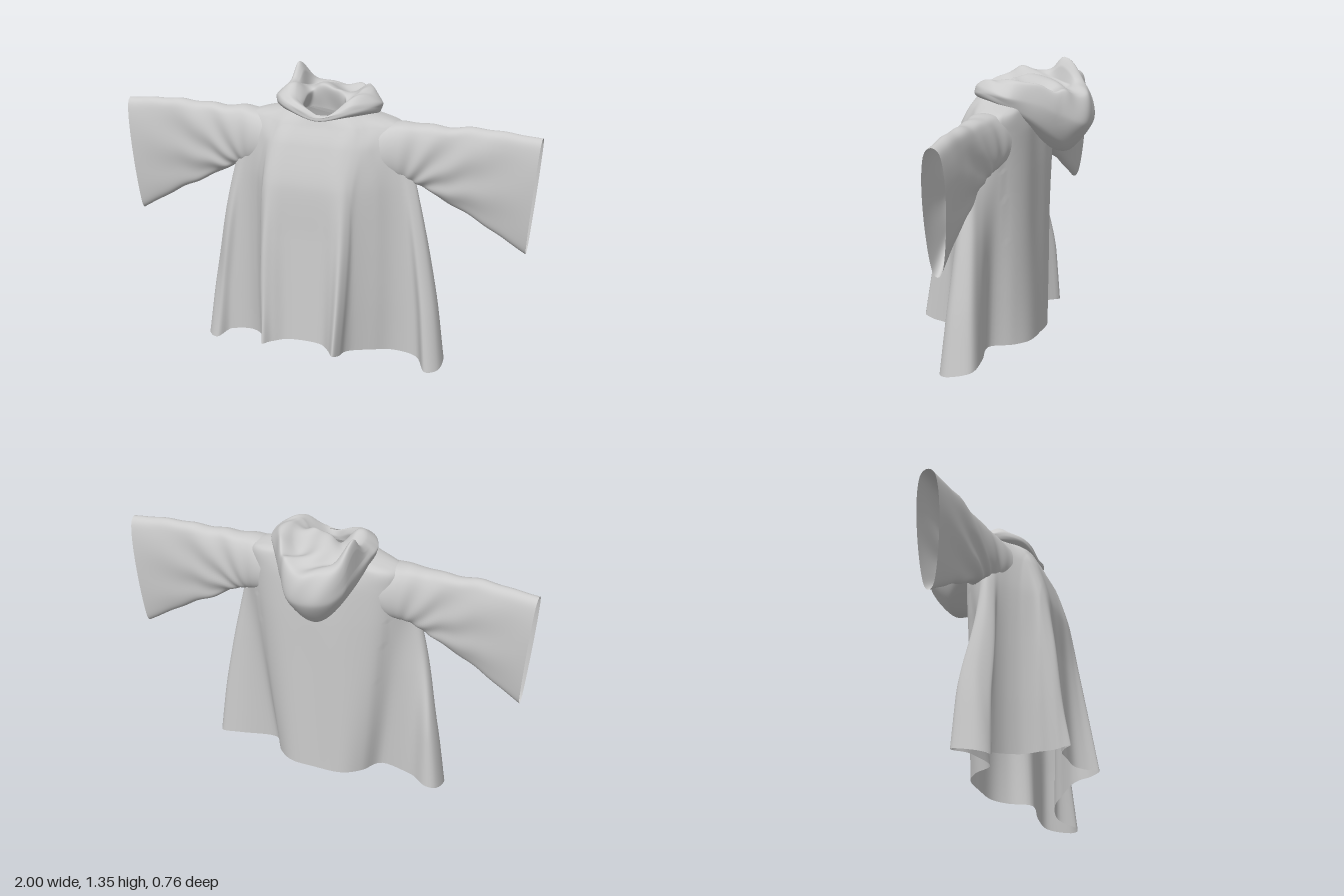
import * as THREE from 'three';

const cloth = new THREE.MeshStandardMaterial({ color: 0xcccccc, side: THREE.DoubleSide });
const V = (x, y, z) => new THREE.Vector3(x, y, z);
const bump = (d, r) => Math.exp(-(d * d) / (r * r));
const ramp = THREE.MathUtils.smoothstep;

// Full ring from a half outline running centre front -> side -> centre back
function mirrorRing(half) {
  const left = half.map((p) => V(...p));
  const right = half.slice(1, -1).reverse().map(([x, y, z]) => V(-x, y, z));
  return [...left, ...right];
}

// Half outline given as x, z pairs at one height
const level = (y, pairs) => pairs.map(([x, z]) => [x, y, z]);

// Smooth skin through closed rings; shape() bends each vertex, skip() leaves holes
function loft(name, rings, around, along, shape, skip = () => false) {
  const loops = rings.map((r) => {
    const c = new THREE.CatmullRomCurve3(r, true, 'catmullrom', 0.5);
    return Array.from({ length: around }, (_, k) => c.getPoint(k / around));
  });
  const pts = [];
  const columns = loops[0].map((_, k) =>
    new THREE.CatmullRomCurve3(loops.map((l) => l[k]), false, 'catmullrom', 0.4));
  for (let j = 0; j <= along; j++) {
    for (let k = 0; k < around; k++) {
      const p = columns[k].getPoint(j / along);
      shape(p, j / along);
      pts.push(p);
    }
  }
  const index = [];
  for (let j = 0; j < along; j++) {
    for (let k = 0; k < around; k++) {
      const a = j * around + k;
      const b = j * around + ((k + 1) % around);
      const c = a + around;
      const d = b + around;
      if ([a, b, c, d].every((i) => skip(pts[i]))) continue;
      index.push(a, b, d, a, d, c);
    }
  }
  const geo = new THREE.BufferGeometry().setFromPoints(pts);
  geo.setIndex(index);
  geo.computeVertexNormals();
  const mesh = new THREE.Mesh(geo, cloth);
  mesh.name = name;
  return mesh;
}

// Body: deep front folds, cone-like side flaps and a back panel that narrows to the hem
function makeBody() {
  const hem = [
    [0, 0.15, 0.28], [0.09, 0.145, 0.285], [0.14, 0.14, 0.33], [0.175, 0.14, 0.38],
    [0.195, 0.125, 0.33], [0.205, 0.115, 0.26], [0.27, 0.095, 0.17], [0.36, 0.075, 0.095],
    [0.47, 0.045, 0.075], [0.53, 0.01, 0.15], [0.59, 0.012, 0.1], [0.575, 0.04, -0.015],
    [0.46, 0.06, -0.025], [0.285, 0.06, 0.01], [0.215, 0.06, -0.085], [0.13, 0.06, -0.143], [0, 0.06, -0.15],
  ];
  const armpit = level(0.9, [
    [0, 0.245], [0.08, 0.245], [0.14, 0.25], [0.18, 0.245], [0.21, 0.225], [0.23, 0.2],
    [0.27, 0.165], [0.33, 0.115], [0.38, 0.085], [0.415, 0.07], [0.44, 0.045], [0.435, 0.02],
    [0.405, -0.01], [0.35, -0.06], [0.27, -0.115], [0.15, -0.145], [0, -0.15],
  ]);
  const chest = level(1.08, [
    [0, 0.195], [0.08, 0.195], [0.14, 0.195], [0.18, 0.185], [0.21, 0.17], [0.24, 0.15],
    [0.28, 0.12], [0.32, 0.095], [0.35, 0.075], [0.375, 0.05], [0.385, 0.02], [0.385, 0],
    [0.375, -0.04], [0.335, -0.085], [0.26, -0.12], [0.14, -0.14], [0, -0.14],
  ]);
  const shoulder = level(1.165, [
    [0, 0.155], [0.08, 0.155], [0.13, 0.15], [0.17, 0.14], [0.2, 0.12], [0.23, 0.1],
    [0.27, 0.08], [0.3, 0.065], [0.33, 0.045], [0.35, 0.03], [0.36, 0.01], [0.36, -0.01],
    [0.35, -0.04], [0.32, -0.08], [0.25, -0.11], [0.13, -0.12], [0, -0.12],
  ]);
  const neck = Array.from({ length: 17 }, (_, i) => {
    const a = (i / 16) * Math.PI;
    return [0.2 * Math.sin(a), 1.215, 0.015 + 0.12 * Math.cos(a)];
  });
  // Straight-hanging rings between hem and armpit, slightly bellied at the sides
  const mid = (t) => hem.map((p, i) =>
    p.map((v, k) => (v + (armpit[i][k] - v) * t) * (k === 0 ? 1 + 0.03 * Math.sin(Math.PI * t) : 1)));
  const rings = [hem, mid(0.33), mid(0.67), armpit, chest, shoulder, neck].map(mirrorRing);
  const shape = (p) => {
    // front folds sit off centre, the right one and the right flap further back
    if (p.z > 0.15) p.x -= 0.025 * Math.min(1, (p.z - 0.15) / 0.08);
    if (p.x < 0) p.z -= 0.025 * ramp(p.z, 0.28, 0.36);
    if (p.x < 0) p.z -= 0.045 * ramp(-p.x, 0.44, 0.54) * ramp(0.9 - p.y, 0, 0.6);
    // soft drapes on the back panel
    if (p.z < -0.08) p.z += 0.004 * Math.sin(p.x * 24) * bump(p.y - 0.75, 0.4);
  };
  const armhole = (p) => Math.abs(p.x) > 0.3 && Math.hypot((p.y - 1.035) / 0.135, (p.z + 0.01) / 0.078) < 1;
  return loft('body', rings, 192, 100, shape, armhole);
}

// Wide hanging sleeve: flat, open cuff, longer below than above, rooted inside the body
function makeSleeve(side) {
  const stations = [ // xTop, xBottom, yTop, yBottom, zCentre, halfWidth, taper towards the bottom
    [0.27, 0.32, 1.17, 0.92, 0.005, 0.115, 0],
    [0.4, 0.44, 1.18, 0.895, 0, 0.088, 0.1],
    [0.55, 0.55, 1.175, 0.83, -0.003, 0.072, 0.2],
    [0.76, 0.73, 1.18, 0.735, -0.01, 0.064, 0.3],
    [1, 0.95, 1.16, 0.6, -0.017, 0.062, 0.35],
  ];
  const rings = stations.map(([xt, xb, yt, yb, zc, w, taper]) =>
    Array.from({ length: 16 }, (_, i) => {
      const a = (i / 16) * Math.PI * 2;
      const u = (1 - Math.sin(a)) / 2;
      const c = Math.cos(a);
      const z = zc + w * (1 - taper * u) * Math.sign(c) * Math.abs(c) ** 0.7;
      return V(side * (xt + (xb - xt) * u), yt + (yb - yt) * u, z);
    }));
  // Creases fanning out from the armpit
  const shape = (p, t) => {
    const x = Math.abs(p.x);
    const fan = Math.atan2(p.y - 0.86, x - 0.36);
    p.z += 0.005 * Math.sin(fan * 13 + side) * Math.sin(Math.PI * t);
    p.y += 0.004 * Math.sin(x * 38 + side) * Math.sin(Math.PI * t);
  };
  return loft(side > 0 ? 'leftSleeve' : 'rightSleeve', rings, 80, 48, shape);
}

// Hood: collar round the neck, with the bag fallen down the back and its mouth folded in
function makeHood() {
  const rings = [
    [[0, 1.18, 0.14], [0.14, 1.205, 0.1], [0.2, 1.2, 0.02], [0.17, 1.2, -0.06], [0.1, 1.17, -0.1], [0, 1.15, -0.11]],
    [[0, 1.19, 0.148], [0.15, 1.22, 0.115], [0.235, 1.21, 0], [0.185, 1.13, -0.12], [0.09, 1.025, -0.165], [0, 0.975, -0.18]],
    [[0, 1.2, 0.148], [0.16, 1.235, 0.115], [0.245, 1.23, -0.01], [0.2, 1.14, -0.15], [0.095, 1.01, -0.26], [0, 0.955, -0.275]],
    [[0, 1.205, 0.148], [0.155, 1.26, 0.11], [0.25, 1.25, -0.03], [0.2, 1.2, -0.18], [0.115, 1.11, -0.335], [0, 1.09, -0.38]],
    [[0, 1.21, 0.143], [0.13, 1.275, 0.095], [0.2, 1.3, -0.03], [0.185, 1.28, -0.17], [0.12, 1.24, -0.3], [0, 1.22, -0.355]],
    [[0, 1.205, 0.138], [0.11, 1.265, 0.08], [0.15, 1.305, -0.02], [0.14, 1.27, -0.12], [0.09, 1.245, -0.2], [0, 1.25, -0.22]],
    [[0, 1.18, 0.132], [0.07, 1.22, 0.09], [0.1, 1.245, 0.03], [0.09, 1.26, -0.04], [0.05, 1.29, -0.05], [0, 1.3, -0.055]],
    [[0, 1.165, 0.13], [0.09, 1.18, 0.09], [0.13, 1.18, 0.03], [0.11, 1.18, -0.04], [0.06, 1.18, -0.06], [0, 1.18, -0.065]],
  ].map(mirrorRing);
  const shape = (p, t) => {
    // bag leans to the right, with one stiff ridge standing up and sloping off behind
    if (p.z < -0.08) p.x -= 0.045 * Math.min(1, (-0.08 - p.z) / 0.2);
    if (t > 0.48 && t < 0.66) p.y += 0.085 * bump(p.x + 0.2, 0.05) * bump(p.z + 0.19, p.z < -0.19 ? 0.09 : 0.05);
    // the mouth lies askew over the neck
    p.z += 0.4 * p.x * ramp(t, 0.6, 0.85) * ramp(0.07 - p.z, 0, 0.1);
    // crumpled folds on the upper side
    const crumple = Math.sin(Math.PI * Math.max(0, (t - 0.35) / 0.65));
    p.y += 0.011 * crumple * Math.sin(p.x * 30 + p.z * 22 + Math.sin(p.z * 25));
    p.z += 0.006 * crumple * Math.sin(p.x * 45 + p.y * 20);
  };
  return loft('hood', rings, 120, 84, shape);
}

export function createModel() {
  const group = new THREE.Group();
  group.name = 'hoodedCloak';
  group.add(makeBody(), makeSleeve(1), makeSleeve(-1), makeHood());
  return group;
}
